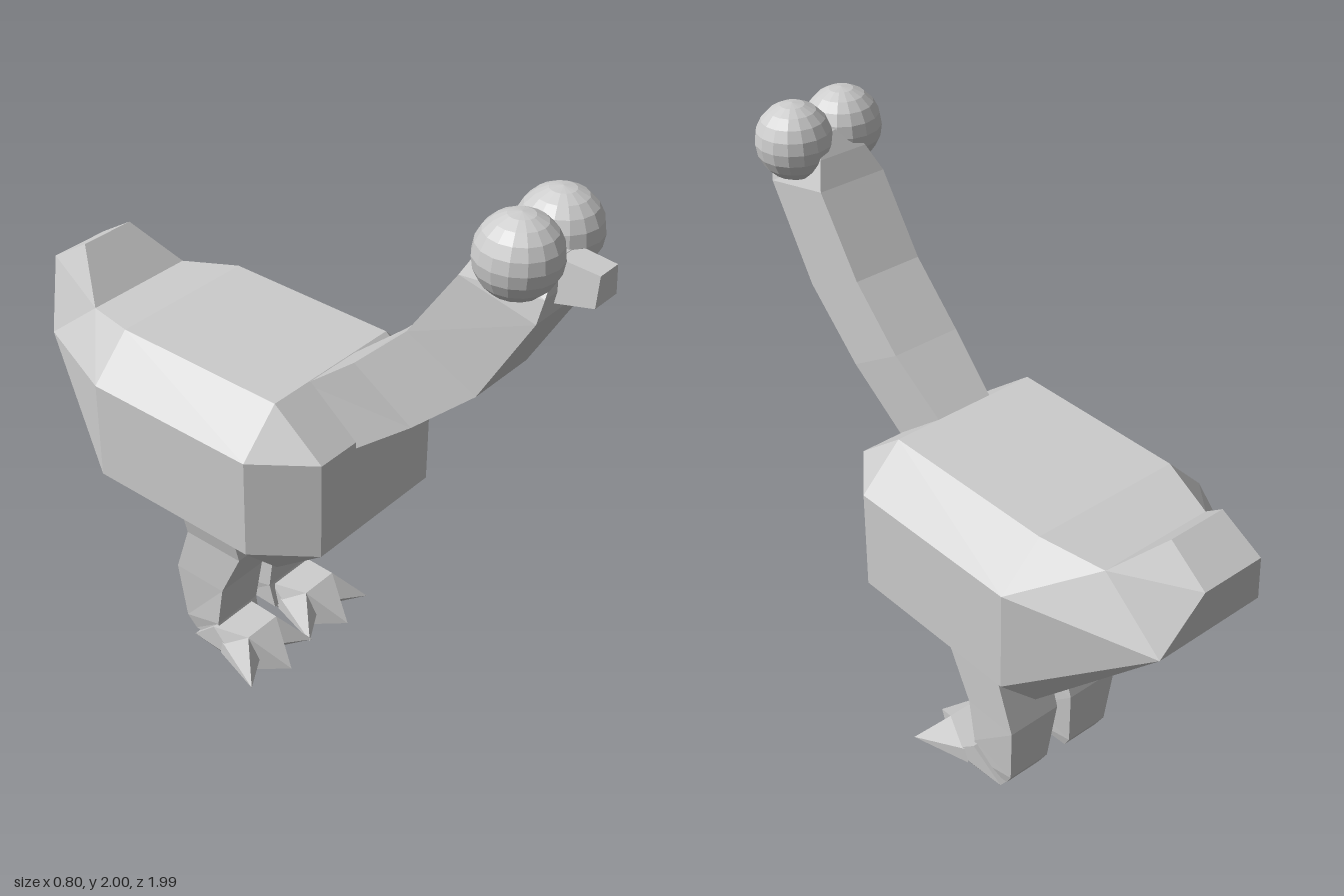
import * as THREE from 'three';
import { ConvexGeometry } from 'three/addons/geometries/ConvexGeometry.js';

const grey = new THREE.MeshStandardMaterial({ color: 0xcccccc, flatShading: true });
grey.name = 'plain grey';

function part(name, geometry) {
  const mesh = new THREE.Mesh(geometry, grey);
  mesh.name = name;
  return mesh;
}

// Convex block; each [x, y, z] is mirrored about x = 0 and shifted by cx
function hull(name, points, cx = 0) {
  const all = [];
  for (const [x, y, z] of points) {
    all.push(new THREE.Vector3(cx + x, y, z));
    if (x !== 0) all.push(new THREE.Vector3(cx - x, y, z));
  }
  return part(name, new ConvexGeometry(all));
}

// Four-sided limb from rising rings: front z, y and half width, back z, y and half width, centre x
function limb(name, rings) {
  const loops = rings.map(([zf, yf, wf, zb, yb, wb, cx = 0]) => [
    [cx - wf, yf, zf], [cx + wf, yf, zf], [cx + wb, yb, zb], [cx - wb, yb, zb],
  ]);
  const pos = [];
  const quad = (a, b, c, d) => pos.push(...a, ...b, ...c, ...a, ...c, ...d);
  for (let k = 0; k < loops.length - 1; k++) {
    for (let i = 0; i < 4; i++) {
      const j = (i + 1) % 4;
      quad(loops[k][i], loops[k][j], loops[k + 1][j], loops[k + 1][i]);
    }
  }
  quad(...loops[loops.length - 1]);
  quad(...[...loops[0]].reverse());
  const geometry = new THREE.BufferGeometry();
  geometry.setAttribute('position', new THREE.Float32BufferAttribute(pos, 3));
  geometry.computeVertexNormals();
  return part(name, geometry);
}

export function createModel() {
  const bird = new THREE.Group();
  bird.name = 'bird';

  // Chamfered body tapering to the rump
  const rump = [[0.2, 1.17, -0.71], [0.2, 0.99, -0.93]];
  bird.add(hull('body', [
    [0.26, 0.72, 0.29], [0.26, 1.06, 0.29],
    ...[0.11, -0.51].flatMap((z) => [
      [0.26, 1.2, z], [0.4, 1.06, z], [0.4, 0.72, z], [0.26, 0.58, z],
    ]),
    ...rump,
  ]));

  // Upturned tail
  bird.add(hull('tail', [...rump, [0.1, 1.31, -0.85], [0.11, 1.22, -0.99]]));

  // Curved neck ending in the narrow head
  bird.add(limb('neck', [
    [0.27, 1.02, 0.1, 0.09, 1.18, 0.1],
    [0.5, 1.22, 0.12, 0.29, 1.35, 0.12],
    [0.71, 1.42, 0.12, 0.47, 1.53, 0.12],
    [0.88, 1.72, 0.125, 0.63, 1.77, 0.12],
    [0.89, 1.79, 0.11, 0.67, 1.85, 0.085],
    [0.88, 1.88, 0.05, 0.71, 1.91, 0.05],
  ]));

  // Beak
  bird.add(hull('beak', [
    [0.045, 1.88, 0.86], [0.06, 1.75, 0.86], [0.04, 1.87, 1.0], [0.05, 1.78, 1.0],
  ]));

  for (const s of [1, -1]) {
    const side = s > 0 ? 'left' : 'right';

    // Bulging eye
    const eye = part(side + 'Eye', new THREE.SphereGeometry(0.122, 16, 10));
    eye.position.set(s * 0.092, 1.878, 0.79);
    bird.add(eye);

    // Bent leg
    bird.add(limb(side + 'Leg', [
      [-0.17, 0.05, 0.09, -0.32, 0.03, 0.07, s * 0.13],
      [-0.19, 0.14, 0.095, -0.35, 0.08, 0.08, s * 0.13],
      [-0.165, 0.3, 0.098, -0.37, 0.3, 0.098, s * 0.128],
      [-0.08, 0.48, 0.1, -0.31, 0.48, 0.1, s * 0.13],
      [-0.08, 0.62, 0.1, -0.31, 0.62, 0.1, s * 0.165],
    ]));

    // Foot with three pointed toes
    const foot = new THREE.Group();
    foot.name = side + 'Foot';
    foot.position.x = s * 0.148;
    foot.add(hull('sole', [
      [0.09, 0.13, -0.2], [0.07, 0.02, -0.31], [0.07, 0.15, -0.06],
      [0.07, 0.0, -0.07], [0.1, 0.05, -0.1],
    ]));
    foot.add(hull('middleToe', [
      [0.07, 0.15, -0.06], [0.07, 0.0, -0.07], [0, 0.04, 0.07],
    ]));
    for (const t of [1, -1]) {
      foot.add(part('sideToe', new ConvexGeometry([
        [0.07, 0.15, -0.06], [0.065, 0.005, -0.07], [0.155, 0.04, 0.03],
        [0.03, 0.06, -0.04], [0.09, 0.09, -0.17], [0.09, 0.03, -0.17],
      ].map(([x, y, z]) => new THREE.Vector3(t * x, y, z)))));
    }
    bird.add(foot);
  }
  return bird;
}
